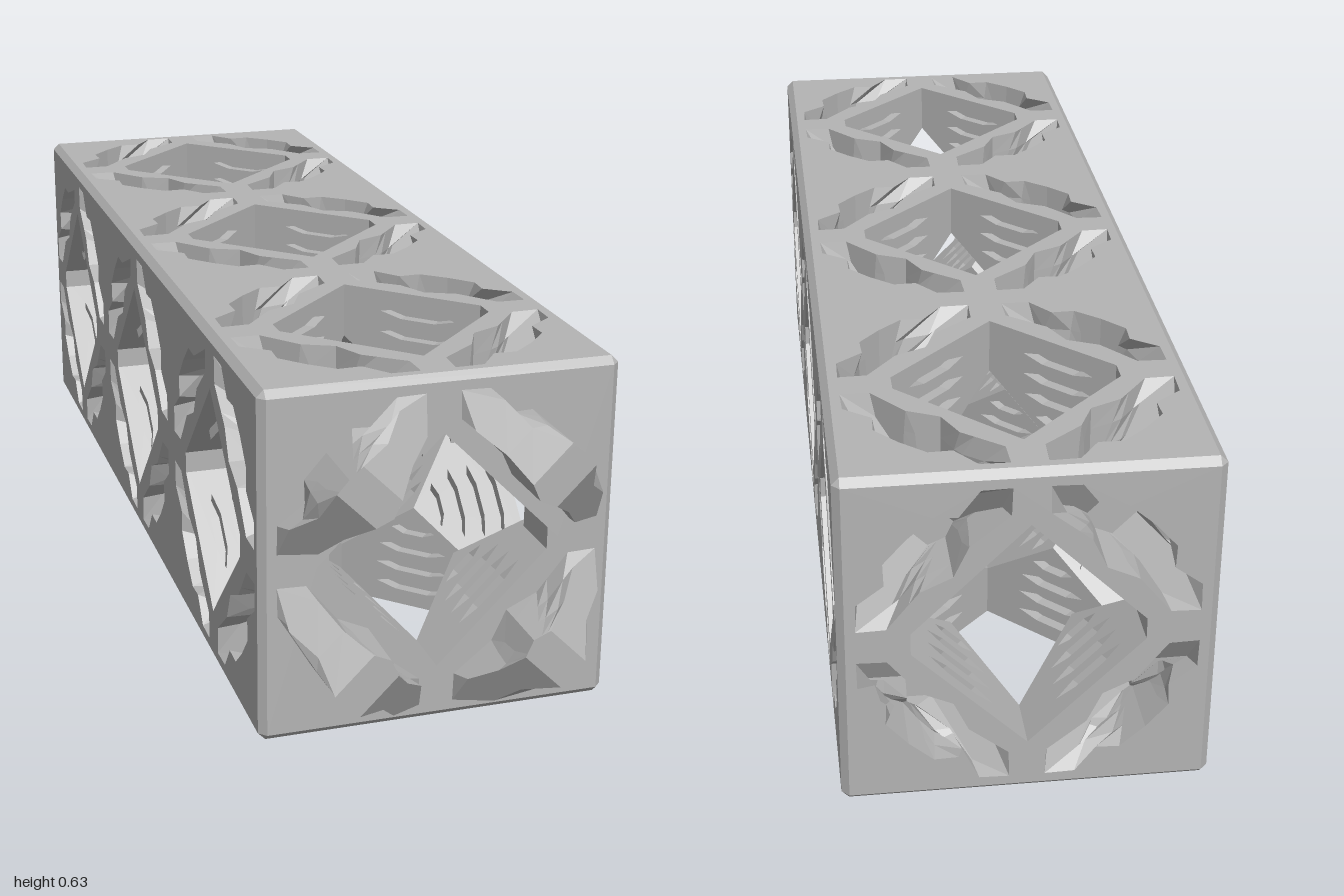
import * as THREE from 'three';

const W = 0.63, L = 1.88, P = L / 3, D = W / 2;   // section, length, cell pitch, half section
const R = 0.215, C = 0.013, DEPTH = 0.12;         // hole radius, chamfer, slot and peg depth
const H = R / Math.SQRT2;                         // half side of the diamond hole

const grey = new THREE.MeshStandardMaterial({ color: 0xb4b4b4, flatShading: true, side: THREE.DoubleSide });
grey.name = 'grey plastic';

function add(parent, name, geometry) {
  const mesh = new THREE.Mesh(geometry, grey);
  mesh.name = name;
  parent.add(mesh);
  return mesh;
}

function fromTriangles(points) {
  const g = new THREE.BufferGeometry().setFromPoints(points);
  g.computeVertexNormals();
  return g;
}

// Joins counter-clockwise rings into a wall and closes the last ring
function loft(rings) {
  const out = [], n = rings[0].length;
  for (let r = 0; r + 1 < rings.length; r++) {
    for (let i = 0; i < n; i++) {
      const j = (i + 1) % n, [a, b] = [rings[r], rings[r + 1]];
      out.push(a[i], a[j], b[j], a[i], b[j], b[i]);
    }
  }
  const last = rings[rings.length - 1];
  const flat = last.map(p => new THREE.Vector2(p.x, p.y));
  THREE.ShapeUtils.triangulateShape(flat, []).forEach(f => f.forEach(i => out.push(last[i])));
  return fromTriangles(out);
}

// Wavy inner and outer edge of a slot: distance from the hole's axis along its length
const inner = [[0, 0.177], [0.055, 0.198], [0.145, 0.188], [0.18, 0.223]];
const outer = [[0, 0.284], [0.06, 0.28], [0.085, 0.25], [0.14, 0.261], [0.18, 0.223]];

function edge(table, a) {
  const x = Math.min(Math.abs(a), 0.18);
  let i = 0;
  while (i < table.length - 2 && x > table[i + 1][0]) i++;
  const [x0, y0] = table[i], [x1, y1] = table[i + 1];
  return y0 + (y1 - y0) * (x - x0) / (x1 - x0);
}

// Cross-section of a slot or peg; its ends close in at 45 degrees
function slotRing(t, z) {
  const scale = 1 - 0.83 * t;
  const stations = [-0.18, -0.143, -0.085, -0.057, 0, 0.057, 0.085, 0.143, 0.18].map(a => a * scale);
  const low = stations.map(a => new THREE.Vector3(a, edge(inner, a), z));
  const high = stations.map(a => new THREE.Vector3(a, edge(outer, a), z)).reverse();
  // the pointed ends share a vertex at the rim
  return t === 0 ? [...low, ...high.slice(1, -1), low[0].clone()] : [...low, ...high];
}

function slotGeometry(direction) {
  const first = slotRing(0, 0);
  first.splice(9, 0, first[8].clone());
  return loft([first, ...[1 / 3, 2 / 3, 1].map(t => slotRing(t, direction * t * DEPTH))]);
}

const slot = slotGeometry(-1), peg = slotGeometry(1);
const quadrants = [0, 1, 2, 3].map(q => q * Math.PI / 2 - Math.PI / 4);

// Lens-shaped slits across a tunnel wall
const slits = [[0.04, 0.075], [0.08, 0.075], [0.12, 0.07], [0.16, 0.045]].map(([d, w]) =>
  [[-1, 0], [-0.45, -1], [0.45, -1], [1, 0], [0.45, 1], [-0.45, 1]]
    .map(([x, y]) => new THREE.Vector2(x * w, y * 0.01 - d)));

function wallGeometry() {
  const shape = new THREE.Shape([[-H, 0], [-H, R - D], [0, R / 2 - D], [H, R - D], [H, 0]]
    .map(p => new THREE.Vector2(...p)));
  slits.forEach(s => shape.holes.push(new THREE.Path(s)));
  return new THREE.ShapeGeometry(shape).rotateX(Math.PI / 2).translate(0, H, 0);
}

const wall = wallGeometry();
const slitPits = slits.map(s => loft([0, -0.02].map((z, i) =>
  s.map(p => new THREE.Vector3(p.x, p.y, z))))
  .rotateX(Math.PI / 2).translate(0, H, 0));

// Four tunnel walls with slits, and small flats in the two horizontal corners
function addTunnel(face, u, depth, turn, flat) {
  const tunnel = new THREE.Group();
  tunnel.name = 'tunnel';
  tunnel.position.set(u, 0, depth);
  face.add(tunnel);
  for (const angle of quadrants) {
    const side = new THREE.Group();
    side.name = 'tunnelSide';
    side.rotation.z = angle;
    tunnel.add(side);
    add(side, 'tunnelWall', wall);
    slitPits.forEach(g => add(side, 'slit', g));
  }
  for (const s of [0, Math.PI]) {
    const tri = new THREE.Shape([[flat, flat - R], [R, 0], [flat, R - flat]].map(p => new THREE.Vector2(...p)));
    const g = new THREE.ExtrudeGeometry(tri, { depth: 0.1, bevelEnabled: false }).translate(0, 0, -0.1);
    add(tunnel, 'tunnelCornerFlat', g).rotation.z = s + turn;
  }
}

// Outer panel with diamond holes and, unless it carries pegs, wavy slots
function addFace(parent, name, u, v, n, length, cells, turn, pegs) {
  const face = new THREE.Group();
  face.name = name;
  const [U, V, N] = [u, v, n].map(a => new THREE.Vector3(...a));
  face.quaternion.setFromRotationMatrix(new THREE.Matrix4().makeBasis(U, V, N));
  face.position.copy(N).multiplyScalar(cells.length > 1 ? D : L / 2);
  parent.add(face);
  const x = length / 2 - C, y = D - C;
  const shape = new THREE.Shape([[-x, -y], [x, -y], [x, y], [-x, y]].map(p => new THREE.Vector2(...p)));
  for (const c of cells) {
    shape.holes.push(new THREE.Path([[c + R, 0], [c, R], [c - R, 0], [c, -R]].map(p => new THREE.Vector2(...p))));
    for (const angle of quadrants) {
      if (!pegs) {
        const rim = slotRing(0, 0).slice(0, -1).map(p =>
          new THREE.Vector2(p.x, p.y).rotateAround(new THREE.Vector2(), angle).add(new THREE.Vector2(c, 0)));
        shape.holes.push(new THREE.Path(rim));
      }
      const m = add(face, pegs ? 'peg' : 'slot', pegs ? peg : slot);
      m.position.x = c;
      m.rotation.z = angle;
    }
    addTunnel(face, c, 0, turn, 0.195);
  }
  add(face, 'panel', new THREE.ShapeGeometry(shape));
  return face;
}

// Chamfer strips along the twelve edges and triangles at the eight corners
function chamferGeometry() {
  const half = [D, D, L / 2], out = [];
  const corner = (s, axis) => new THREE.Vector3(...half.map((h, i) => s[i] * (i === axis ? h : h - C)));
  const tri = (a, b, c) => {
    const n = b.clone().sub(a).cross(c.clone().sub(a));
    out.push(...(n.dot(a) > 0 ? [a, b, c] : [a, c, b]));
  };
  for (const p of [-1, 1]) for (const q of [-1, 1]) {
    for (let k = 0; k < 3; k++) {
      const i = (k + 1) % 3, j = (k + 2) % 3;
      const s0 = [], s1 = [];
      s0[k] = -1; s1[k] = 1;
      s0[i] = s1[i] = p;
      s0[j] = s1[j] = q;
      const [a, b, c, d] = [corner(s0, i), corner(s1, i), corner(s1, j), corner(s0, j)];
      tri(a, b, c);
      tri(a, c, d);
    }
    for (const r of [-1, 1]) tri(...[0, 1, 2].map(k => corner([p, q, r], k)));
  }
  return fromTriangles(out);
}

export function createModel() {
  const model = new THREE.Group();
  model.name = 'beam';
  const body = new THREE.Group();
  body.name = 'body';
  body.position.set(0, D, -DEPTH / 2);
  model.add(body);

  // Six outer faces
  const cells = [-P, 0, P], q = Math.PI / 2;
  addFace(body, 'topFace', [0, 0, 1], [1, 0, 0], [0, 1, 0], L, cells, q, false);
  addFace(body, 'bottomFace', [0, 0, 1], [-1, 0, 0], [0, -1, 0], L, cells, q, false);
  addFace(body, 'leftFace', [0, 0, 1], [0, -1, 0], [1, 0, 0], L, cells, 0, false);
  addFace(body, 'rightFace', [0, 0, 1], [0, 1, 0], [-1, 0, 0], L, cells, 0, false);
  const front = addFace(body, 'frontFace', [1, 0, 0], [0, 1, 0], [0, 0, 1], W, [0], 0, true);
  const back = addFace(body, 'backFace', [-1, 0, 0], [0, 1, 0], [0, 0, -1], W, [0], 0, false);

  // Lengthwise tunnels continue through the inner partitions, which narrow slightly
  for (const i of [1, 2]) {
    addTunnel(front, 0, -i * P, 0, 0.165);
    addTunnel(back, 0, -i * P, 0, 0.165);
    const ring = new THREE.LatheGeometry(
      [[R, 0.08], [0.185, 0], [R, -0.08]].map(p => new THREE.Vector2(...p)), 4).rotateX(Math.PI / 2);
    add(body, 'partitionRing', ring).position.z = L / 2 - i * P;
  }

  add(body, 'chamferedEdges', chamferGeometry());
  return model;
}
